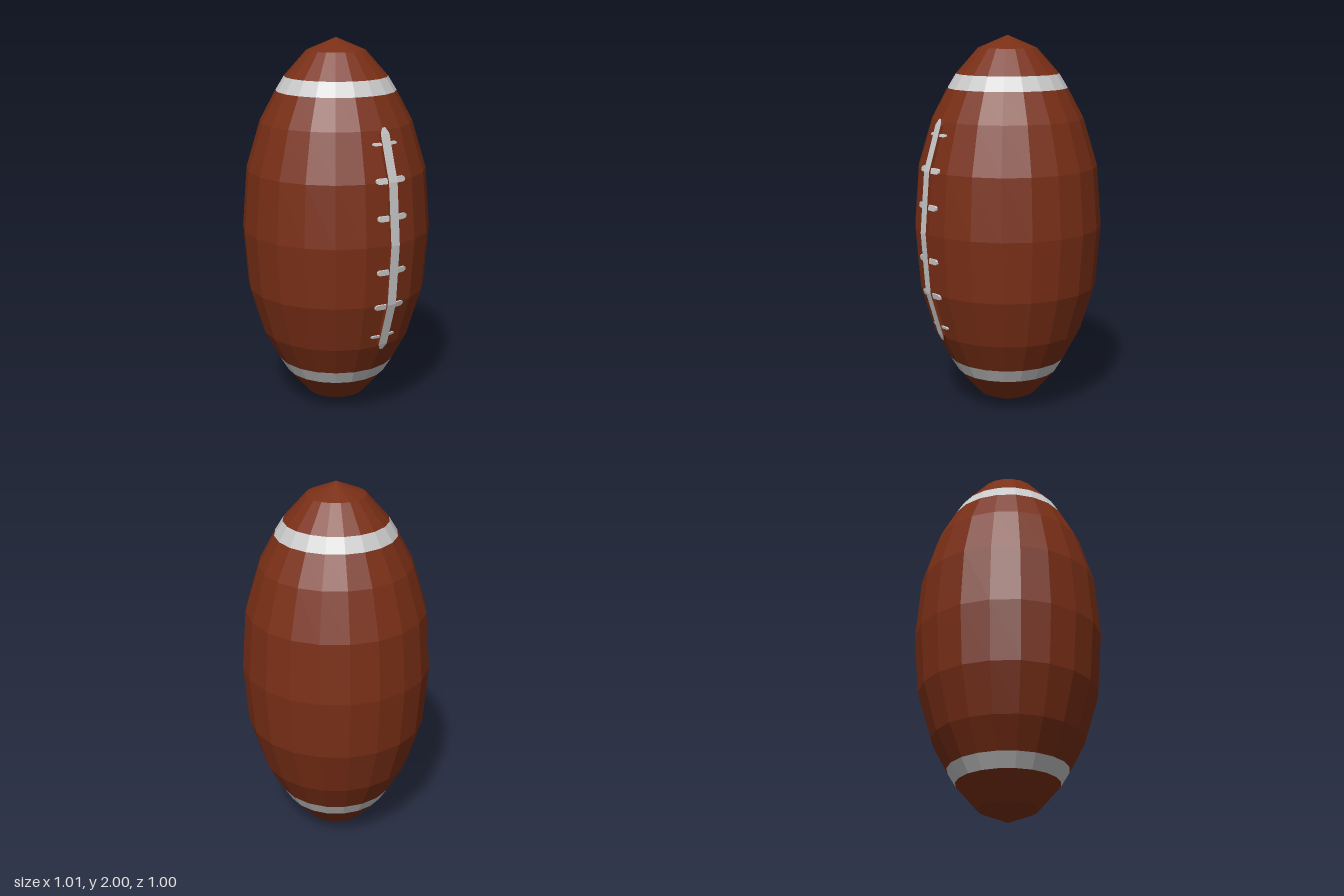
import * as THREE from 'three';

const CX = -0.005; // the ball sits slightly off centre because the lacing sticks out
const SIDES = 20;

// upper half of the profile: [radius, height above the middle]
const half = [[0.5, 0], [0.475, 0.32], [0.4, 0.57], [0.316, 0.728], [0.271, 0.802], [0.155, 0.934], [0, 1]];
// whole profile, bottom to top
const profile = [
  ...half.slice(1).reverse().map(([r, y]) => [r, 1 - y]),
  ...half.map(([r, y]) => [r, 1 + y]),
];

// ball radius at height y
function radiusAt(y) {
  const i = Math.max(1, profile.findIndex((p) => p[1] >= y));
  const [r0, y0] = profile[i - 1];
  const [r1, y1] = profile[i];
  return r0 + (r1 - r0) * (y - y0) / (y1 - y0);
}

// replaces the vertices of a geometry by a rule
function reshape(geometry, rule) {
  const p = geometry.attributes.position;
  for (let i = 0; i < p.count; i++) p.setXYZ(i, ...rule(p.getX(i), p.getY(i), p.getZ(i)));
  geometry.computeVertexNormals();
  return geometry;
}

export function createModel() {
  const group = new THREE.Group();
  const leather = new THREE.MeshStandardMaterial({ color: 0x7a2f16, flatShading: true });
  const white = new THREE.MeshStandardMaterial({ color: 0xcccccc, flatShading: true });

  function add(name, geometry, material) {
    const mesh = new THREE.Mesh(geometry, material);
    mesh.name = name;
    group.add(mesh);
  }

  // faceted shell, cut into leather sections and white stripes
  const sections = [
    ['bottomCap', 0, 2, leather], ['bottomStripe', 2, 3, white], ['body', 3, 9, leather],
    ['topStripe', 9, 10, white], ['topCap', 10, 12, leather],
  ];
  for (const [name, from, to, material] of sections) {
    const points = profile.slice(from, to + 1).map(([r, y]) => new THREE.Vector2(r, y));
    const shell = new THREE.LatheGeometry(points, SIDES);
    shell.translate(CX, 0, 0);
    add(name, shell, material);
  }

  // seam strip: follows the profile, pointed ends, leather sides and white face
  const seamY = [0.415, 0.445, 0.68, 1, 1.32, 1.555, 1.585];
  const seamHalf = [0.01, 0.027, 0.027, 0.027, 0.027, 0.027, 0.01];
  const n = seamY.length - 1;
  const seam = reshape(new THREE.BoxGeometry(1, n, 1, 1, n, 1), (x, y, z) => {
    const k = Math.round(y + n / 2);
    return [CX + radiusAt(seamY[k]) + (x > 0 ? 0.013 : -0.02), seamY[k], Math.sign(z) * seamHalf[k]];
  });
  add('seamStrip', seam, [white, leather, leather, leather, leather, leather]);

  // cross laces: bars with rounded ends, folded over the ridge of the ball
  const laceZ = [-1, -0.88, 0, 0.88, 1];
  const laceH = [0.5, 1, 1, 1, 0.5];
  for (const [offset, length, height] of [[0.14, 0.088, 0.014], [0.328, 0.088, 0.014], [0.505, 0.073, 0.007]]) {
    for (const side of [-1, 1]) {
      const middle = 1 + side * offset;
      const lace = reshape(new THREE.BoxGeometry(1, 1, 4, 1, 1, 4), (x, y, z) => {
        const k = Math.round(z + 2);
        const lz = laceZ[k] * length;
        const ly = middle + Math.sign(y) * height * laceH[k];
        const surface = CX + radiusAt(ly) - Math.abs(lz) * Math.tan(Math.PI / SIDES);
        return [surface + (x > 0 ? 0.011 : -0.01), ly, lz];
      });
      add('lace', lace, white);
    }
  }
  return group;
}
